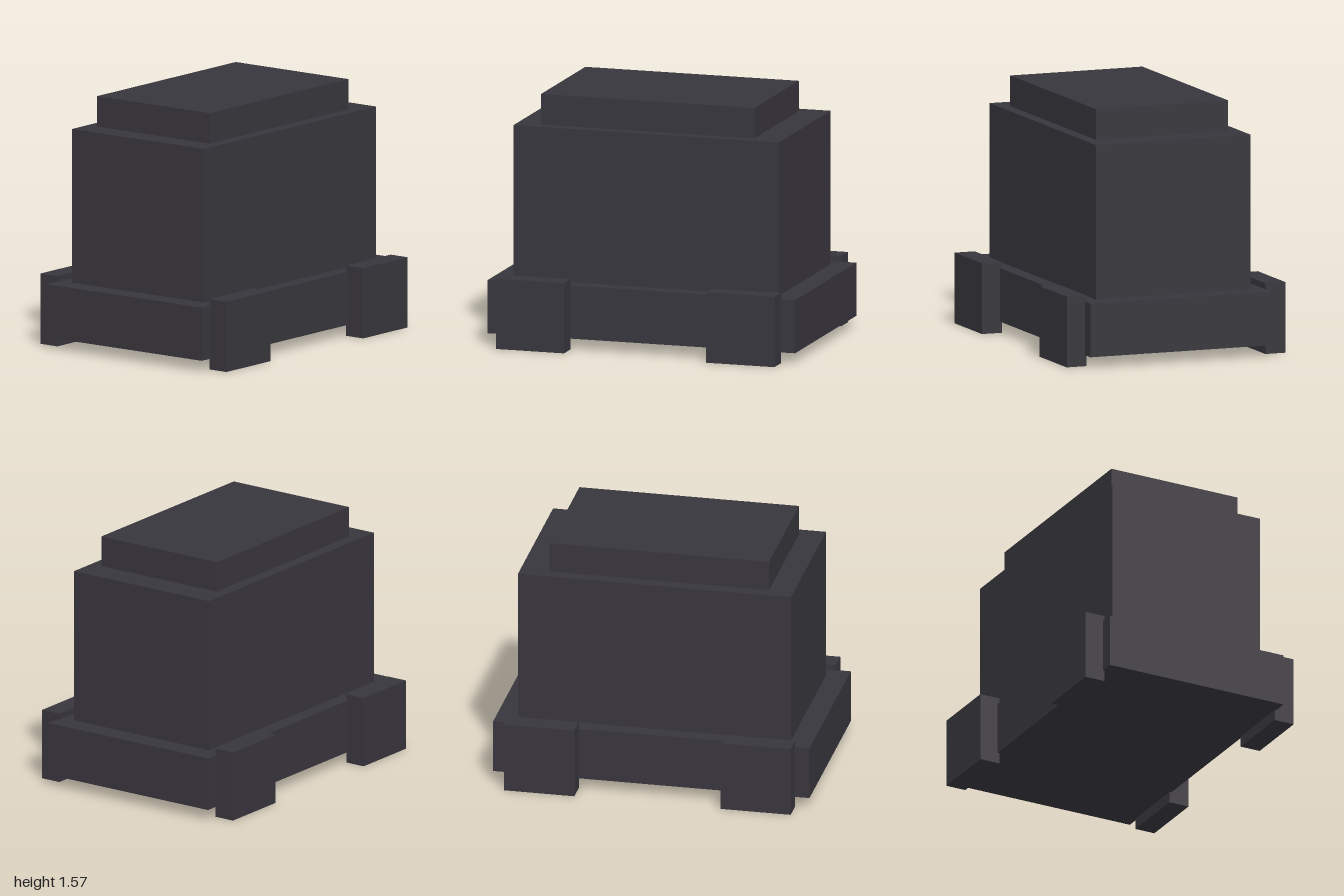
import * as THREE from 'three';

export function createModel() {
  const model = new THREE.Group();
  const charcoal = new THREE.MeshStandardMaterial({ color: 0x38363d });
  charcoal.name = 'charcoal';

  // Box given by its [min, max] extent on each axis
  function addBox(name, [x0, x1], [y0, y1], [z0, z1]) {
    const mesh = new THREE.Mesh(new THREE.BoxGeometry(x1 - x0, y1 - y0, z1 - z0), charcoal);
    mesh.position.set((x0 + x1) / 2, (y0 + y1) / 2, (z0 + z1) / 2);
    mesh.name = name;
    model.add(mesh);
  }

  // Stacked body: wide base, tall middle, slightly offset cap
  addBox('base', [-1, 1], [0.07, 0.405], [-0.61, 0.61]);
  addBox('body', [-0.863, 0.863], [0.405, 1.373], [-0.517, 0.517]);
  addBox('cap', [-0.708, 0.68], [1.373, 1.565], [-0.442, 0.442]);

  // Four block feet, sunk slightly into the front and back of the base
  for (const [end, z] of [['front', [0.598, 0.731]], ['back', [-0.731, -0.598]]]) {
    addBox(end + 'LeftFoot', [0.461, 0.905], [0, 0.443], z);
    addBox(end + 'RightFoot', [-0.907, -0.464], [0, 0.443], z);
  }

  return model;
}
